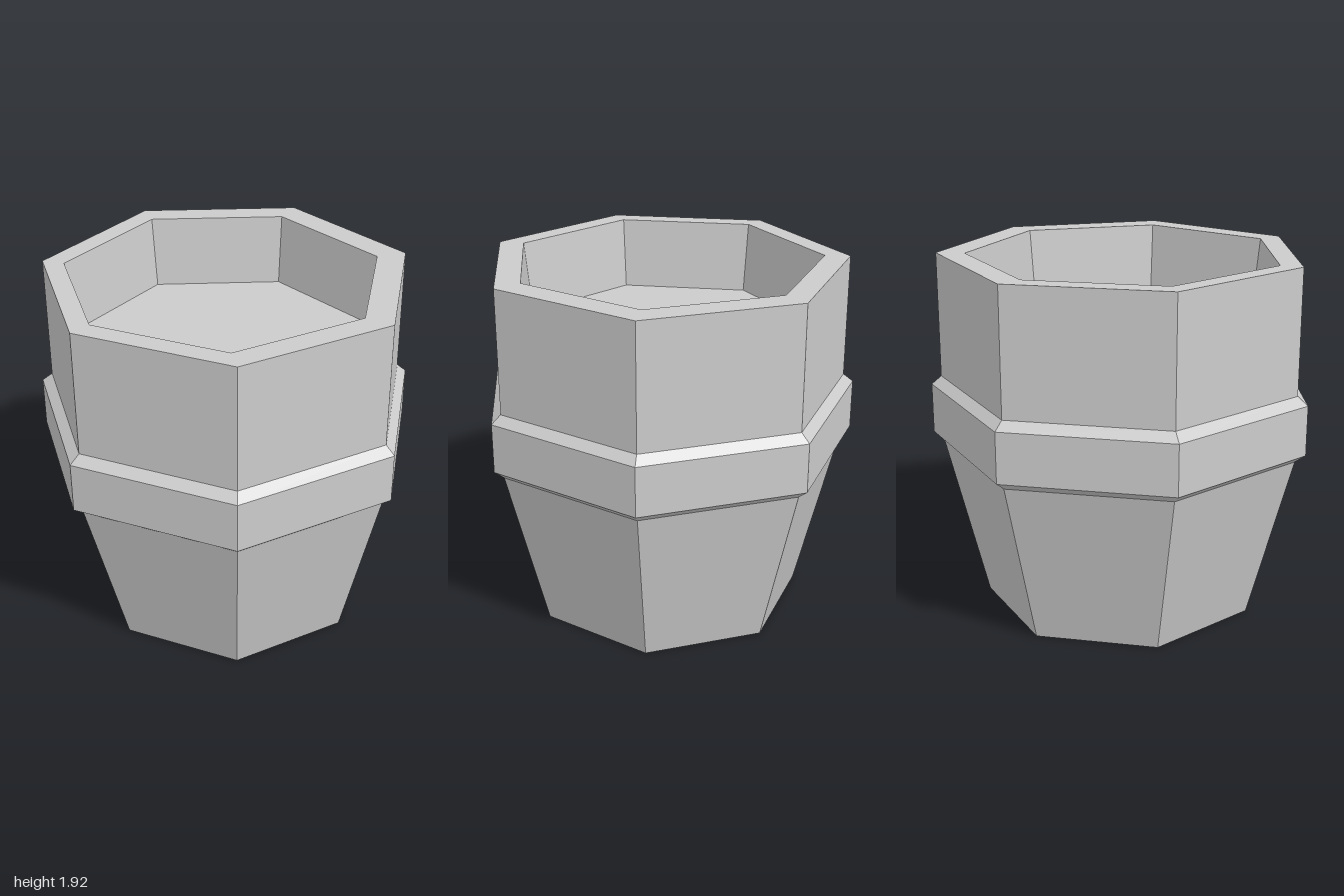
import * as THREE from 'three';

const SIDES = 7;

// Heptagonal ring: radius, height and x centre (outer rings are centred by their extents)
const ring = (r, y, cx = -0.0495 * r) => ({ r, y, cx });

function corner({ r, y, cx }, i) {
  const a = (i % SIDES) * Math.PI * 2 / SIDES;
  return [cx + r * Math.cos(a), y, -r * Math.sin(a)];
}

// Skin a list of rings; faces point outward when the outline runs up the outside and down the inside
function loft(name, rings, material) {
  const pos = [];
  for (let k = 0; k < rings.length - 1; k++) {
    const lo = rings[k], hi = rings[k + 1];
    for (let i = 0; i < SIDES; i++) {
      const a = corner(lo, i), b = corner(lo, i + 1);
      const c = corner(hi, i + 1), d = corner(hi, i);
      if (lo.r > 0) pos.push(...a, ...b, ...c);
      if (hi.r > 0) pos.push(...a, ...c, ...d);
    }
  }
  const geometry = new THREE.BufferGeometry();
  geometry.setAttribute('position', new THREE.Float32BufferAttribute(pos, 3));
  geometry.computeVertexNormals();
  const mesh = new THREE.Mesh(geometry, material);
  mesh.name = name;
  return mesh;
}

export function createModel() {
  const group = new THREE.Group();
  group.name = 'heptagonalPot';
  const material = new THREE.MeshStandardMaterial({ color: 0xcccccc, flatShading: true });

  const waistLow = ring(0.972, 0.905);
  const waistHigh = ring(0.972, 1.26);
  const rimOuter = ring(0.972, 1.925);
  const rimInner = ring(0.834, 1.925, -0.07);
  const floorEdge = ring(0.793, 1.545, -0.067);

  group.add(
    // Closed underside and tapered lower wall
    loft('taperedBase', [ring(0, 0), ring(0.743, 0), waistLow], material),
    // Raised band with bevelled edges
    loft('band', [waistLow, ring(1.0257, 0.947), ring(1.0257, 1.215), waistHigh], material),
    // Straight upper wall and flat rim
    loft('upperWall', [waistHigh, rimOuter, rimInner], material),
    // Shallow recess with a flat floor
    loft('recess', [rimInner, floorEdge, ring(0, 1.545, -0.067)], material)
  );
  return group;
}
